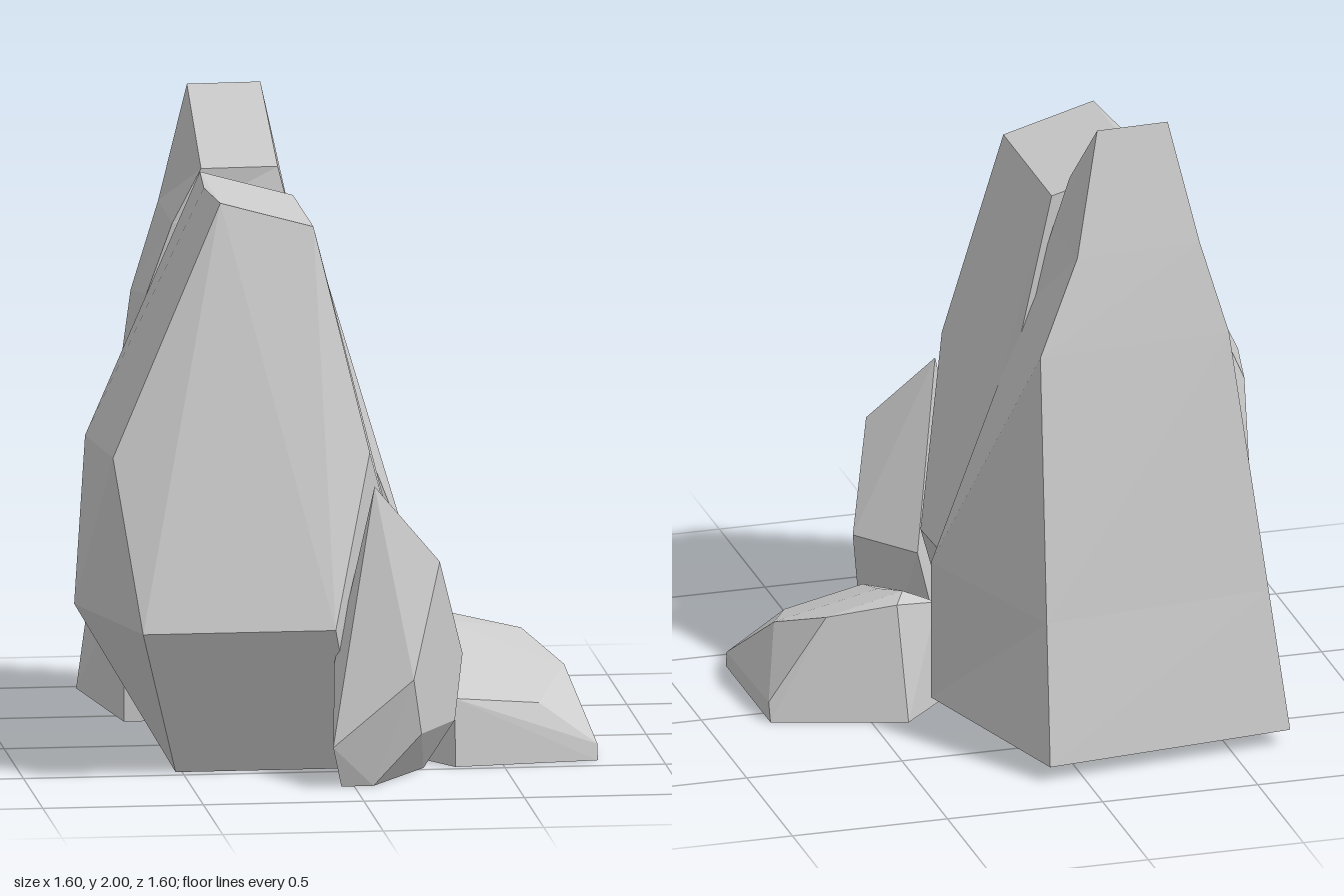
import * as THREE from 'three';
import { ConvexGeometry } from 'three/addons/geometries/ConvexGeometry.js';

const material = new THREE.MeshStandardMaterial({
  color: 0xcccccc, flatShading: true,
});

function addMesh(group, name, geometry) {
  const mesh = new THREE.Mesh(geometry, material);
  mesh.name = name;
  group.add(mesh);
}

// Faceted convex block through a few corner points.
function rock(corners) {
  return new ConvexGeometry(corners.map((c) => new THREE.Vector3(...c)));
}

// Skin over four-cornered rings from bottom to top, closed at both ends.
// Corners of each ring: front right, back right, back left, front left.
function loft(rings) {
  const positions = [];
  const quad = (a, b, c, d) => positions.push(...a, ...b, ...c, ...a, ...c, ...d);
  for (let i = 0; i < rings.length - 1; i++) {
    for (let j = 0; j < 4; j++) {
      const k = (j + 1) % 4;
      quad(rings[i][j], rings[i][k], rings[i + 1][k], rings[i + 1][j]);
    }
  }
  quad(...rings[0].slice().reverse());
  quad(...rings[rings.length - 1]);
  const geometry = new THREE.BufferGeometry();
  geometry.setAttribute('position', new THREE.Float32BufferAttribute(positions, 3));
  geometry.computeVertexNormals();
  return geometry;
}

export function createModel() {
  const group = new THREE.Group();
  group.name = 'rockCluster';

  // Large boulder in front, listed ring by ring from the ground up
  addMesh(group, 'mainBoulder', rock([
    [-0.52, 0, 0.45], [0.06, 0, 0.45], [0.04, 0, 0.12], [-0.09, 0, -0.07], [-0.48, 0, -0.16],
    [-0.65, 0.48, 0.69], [-0.05, 0.48, 0.69], [0.24, 0.48, 0.18],
    [0.23, 0.48, -0.09], [-0.71, 0.48, -0.24], [-0.8, 0.48, 0.15],
    [-0.72, 1.0, 0.49], [0.08, 1.0, 0.49], [0.08, 1.0, -0.19],
    [-0.71, 1.0, -0.14], [-0.76, 1.0, 0.1],
    [-0.37, 1.77, 0.36], [-0.08, 1.69, 0.36],
    [-0.08, 1.69, -0.17], [-0.37, 1.77, -0.17], [-0.39, 1.77, 0.1],
  ]));

  // Tall spire behind, narrowing in steps
  addMesh(group, 'backSpire', loft([
    [[0.3, 0.05, -0.14], [0.11, 0.05, -0.8], [-0.69, 0.05, -0.71], [-0.61, 0.05, -0.14]],
    [[0.3, 0.5, -0.14], [0.1, 0.5, -0.727], [-0.637, 0.5, -0.654], [-0.61, 0.5, -0.14]],
    [[-0.02, 1.33, -0.13], [0.08, 1.33, -0.59], [-0.54, 1.33, -0.55], [-0.53, 1.38, -0.22]],
    [[-0.08, 1.6, -0.19], [-0.06, 1.62, -0.52], [-0.46, 1.62, -0.5], [-0.45, 1.6, -0.22]],
    [[-0.12, 1.77, -0.23], [-0.15, 2, -0.43], [-0.38, 2, -0.42], [-0.36, 1.77, -0.22]],
  ]));

  // Pointed shard leaning on the boulder
  addMesh(group, 'frontShard', rock([
    [-0.04, 0, 0.75], [0.06, 0, 0.75], [0.25, 0, 0.47], [0.12, 0, 0.36], [0, 0, 0.5],
    [-0.07, 0.13, 0.79], [0.21, 0.16, 0.75], [0.34, 0.16, 0.53],
    [0.18, 0.34, 0.8], [0.37, 0.36, 0.48], [0.22, 0.36, 0.28], [-0.05, 0.37, 0.65],
    [0.28, 0.68, 0.64], [0.09, 0.9, 0.53],
  ]));

  // Low stone at the side
  addMesh(group, 'sideStone', rock([
    [0.39, 0, -0.2], [0.8, 0, -0.08], [0.8, 0, 0.41], [0.35, 0, 0.47],
    [0.21, 0, 0.24], [0.23, 0, -0.04],
    [0.8, 0.06, -0.06], [0.8, 0.05, 0.4],
    [0.35, 0.21, 0.44], [0.62, 0.18, 0.38], [0.73, 0.25, 0.12],
    [0.62, 0.33, -0.08], [0.41, 0.37, -0.14], [0.36, 0.37, -0.03], [0.25, 0.32, -0.03],
    [0.39, 0.315, 0.14], [0.23, 0.24, 0.22],
  ]));

  return group;
}
